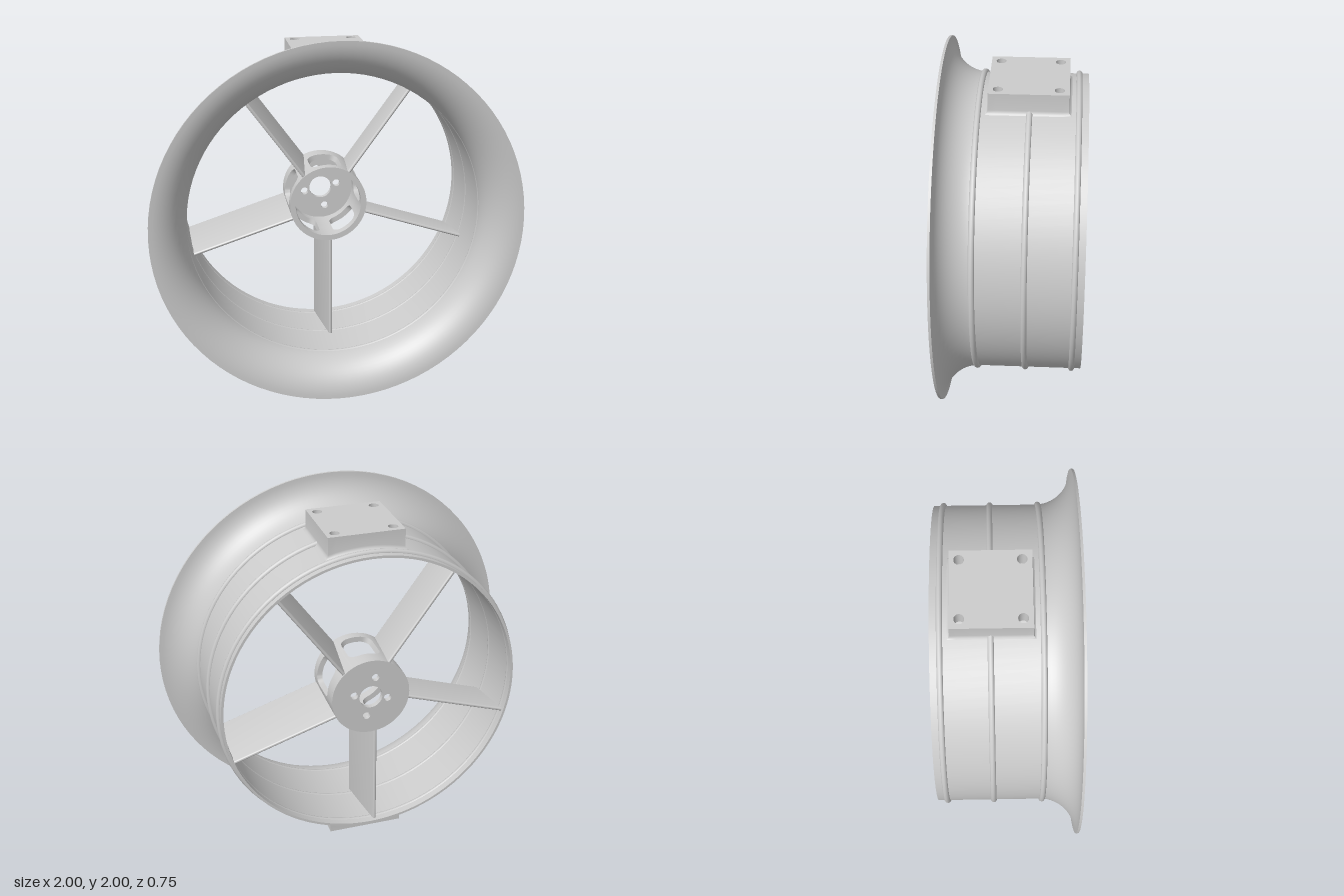
import * as THREE from 'three';
import { toCreasedNormals } from 'three/addons/utils/BufferGeometryUtils.js';

const grey = new THREE.MeshStandardMaterial({ color: 0xcccccc });
const greyDouble = new THREE.MeshStandardMaterial({ color: 0xcccccc, side: THREE.DoubleSide });

const R_OUT = 0.81, R_IN = 0.797;      // duct wall
const HUB_R = 0.215, HUB_IN = 0.185;   // motor cage
const HUB_FRONT = -0.03, HUB_BACK = -0.365;
const MOUNT_Z = -0.075, MOUNT_HALF = 0.205, MOUNT_TOP = 0.895;

function part(parent, name, geometry, material = grey) {
  const mesh = new THREE.Mesh(geometry, material);
  mesh.name = name;
  parent.add(mesh);
  return mesh;
}

function circleHole(x, y, r) {
  return new THREE.Path().absarc(x, y, r, 0, Math.PI * 2, true);
}

// Thin duct wall flaring into a quarter-round bell mouth at the front
function ductGeometry() {
  const arc = (r, i, n) => {
    const a = Math.PI - (i / n) * Math.PI / 2;
    return new THREE.Vector2(1 + r * Math.cos(a), 0.17 + r * Math.sin(a));
  };
  const n = 14, pts = [new THREE.Vector2(R_OUT, -0.38)];
  for (let i = 0; i <= n; i++) pts.push(arc(1 - R_OUT, i, n));
  for (let i = n; i >= 0; i--) pts.push(arc(1 - R_IN, i, n));
  pts.push(new THREE.Vector2(R_IN, -0.38), pts[0].clone());
  const g = new THREE.LatheGeometry(pts, 96);
  g.rotateX(Math.PI / 2);
  return toCreasedNormals(g, 0.5);
}

// Half of the cage wall: a rectangular section swept round, cut back at the windows
function cageGeometry(front) {
  const w = 0.42, H = 0.1, c = 0.04, mid = -0.18, R = 0.2;
  const height = (u) => {
    const d = Math.max(0, (u - w) * R + c);
    return H - c + Math.sqrt(Math.max(0, c * c - d * d));
  };
  const half = [0, 0.07, 0.14, 0.22, 0.27, 0.32, 0.36, 0.39, 0.41, w].map((u) => [u, height(u)]);
  half.push([w, 0], [0.49, 0], [0.56, 0], [Math.PI / 5, 0]);
  const sector = [...half.slice(1).reverse().map(([u, h]) => [-u, h]), ...half];
  const pos = [], index = [];
  let rows = 0;
  for (let k = 0; k < 5; k++) {
    for (const [u, h] of sector) {
      const a = u + Math.PI / 5 - Math.PI / 2 + k * Math.PI * 2 / 5;
      const z0 = front ? mid + h : HUB_BACK + 0.02;
      const z1 = front ? HUB_FRONT : mid - h;
      for (const [r, z] of [[HUB_IN, z0], [HUB_R, z0], [HUB_R, z1], [HUB_IN, z1]])
        pos.push(r * Math.cos(a), r * Math.sin(a), z);
      rows++;
    }
  }
  for (let i = 0; i < rows - 1; i++) {
    for (let j = 0; j < 4; j++) {
      const a = i * 4 + j, b = i * 4 + (j + 1) % 4;
      index.push(a, a + 4, b, a + 4, b + 4, b);
    }
  }
  const g = new THREE.BufferGeometry();
  g.setAttribute('position', new THREE.Float32BufferAttribute(pos, 3));
  g.setIndex(index);
  return toCreasedNormals(g, 0.5);
}

// Drilled back plate that carries the motor
function plateGeometry() {
  const s = new THREE.Shape().absarc(0, 0, HUB_R, 0, Math.PI * 2);
  s.holes.push(circleHole(0, 0, 0.064));
  for (let i = 0; i < 4; i++) {
    const a = 0.215 + i * Math.PI / 2, r = i % 2 ? 0.115 : 0.095;
    s.holes.push(circleHole(r * Math.cos(a), r * Math.sin(a), 0.021));
  }
  const g = new THREE.ExtrudeGeometry(s, { depth: 0.03, bevelEnabled: false, curveSegments: 32 });
  g.translate(0, 0, HUB_BACK);
  return toCreasedNormals(g, 0.5);
}

// Slim vane with rounded edges, running down from the hub to the wall
function vaneGeometry() {
  const t = 0.009, h = 0.157;
  const s = new THREE.Shape();
  s.absarc(0, h, t, 0, Math.PI);
  s.absarc(0, -h, t, Math.PI, Math.PI * 2);
  const g = new THREE.ExtrudeGeometry(s, { depth: 0.602, bevelEnabled: false, curveSegments: 6 });
  g.rotateX(Math.PI / 2);
  g.rotateY(0.13);
  g.translate(-0.008, -0.2, -0.197);
  return toCreasedNormals(g, 0.6);
}

// Mounting block side walls: follow the duct curve, with a small fillet at the foot
function blockWallGeometry() {
  const corners = [[-1, 1], [1, 1], [1, -1], [-1, -1], [-1, 1]];
  const profile = [[0, null], [0, 0.018], [0.002, 0.009], [0.007, 0.003], [0.016, -0.002]];
  const n = 10, cols = 4 * n, g = new THREE.PlaneGeometry(1, 1, cols, profile.length - 1);
  const p = g.attributes.position;
  for (let i = 0; i < p.count; i++) {
    const col = i % (cols + 1), [out, lift] = profile[Math.floor(i / (cols + 1))];
    const side = Math.min(3, Math.floor(col / n)), f = (col - side * n) / n;
    const [a, b] = [corners[side], corners[side + 1]];
    const x = (a[0] + (b[0] - a[0]) * f) * (MOUNT_HALF + out);
    const z = (a[1] + (b[1] - a[1]) * f) * (MOUNT_HALF + out);
    p.setXYZ(i, x, lift === null ? MOUNT_TOP : Math.sqrt(R_OUT ** 2 - x * x) + lift, z);
  }
  return toCreasedNormals(g, 0.7);
}

function mountingBlock(name) {
  const block = new THREE.Group();
  block.name = name;
  part(block, 'blockWalls', blockWallGeometry());
  const m = MOUNT_HALF, d = 0.155, r = 0.026;
  const top = new THREE.Shape([[-m, -m], [m, -m], [m, m], [-m, m]].map((q) => new THREE.Vector2(...q)));
  for (const sx of [-1, 1]) {
    for (const sz of [-1, 1]) {
      top.holes.push(circleHole(sx * d, sz * d, r));
      const bore = new THREE.CylinderGeometry(r, r, 0.106, 24, 1, true);
      bore.translate(sx * d, MOUNT_TOP - 0.053, sz * d);
      part(block, 'boltHole', bore, greyDouble);
    }
  }
  const face = new THREE.ShapeGeometry(top, 12);
  face.rotateX(-Math.PI / 2);
  face.translate(0, MOUNT_TOP, 0);
  part(block, 'blockFace', face);
  block.position.z = MOUNT_Z;
  return block;
}

export function createModel() {
  const model = new THREE.Group();
  model.name = 'fanDuct';
  const body = new THREE.Group();
  body.name = 'ductAssembly';
  body.position.y = 1;
  model.add(body);

  part(body, 'ductShell', ductGeometry());

  // Stiffening ribs round the outside
  for (const z of [0.18, -0.08, -0.33])
    part(body, 'rib', new THREE.TorusGeometry(R_OUT, 0.016, 10, 96)).position.z = z;

  // Motor hub
  part(body, 'hubCageFront', cageGeometry(true));
  part(body, 'hubCageBack', cageGeometry(false));
  part(body, 'motorPlate', plateGeometry());

  // Five vanes
  const vane = vaneGeometry();
  for (let i = 0; i < 5; i++)
    part(body, 'vane', vane).rotation.z = i * Math.PI * 2 / 5;

  // Mounting blocks above and below
  body.add(mountingBlock('topMount'));
  const lower = mountingBlock('bottomMount');
  lower.rotation.z = Math.PI;
  body.add(lower);

  return model;
}
